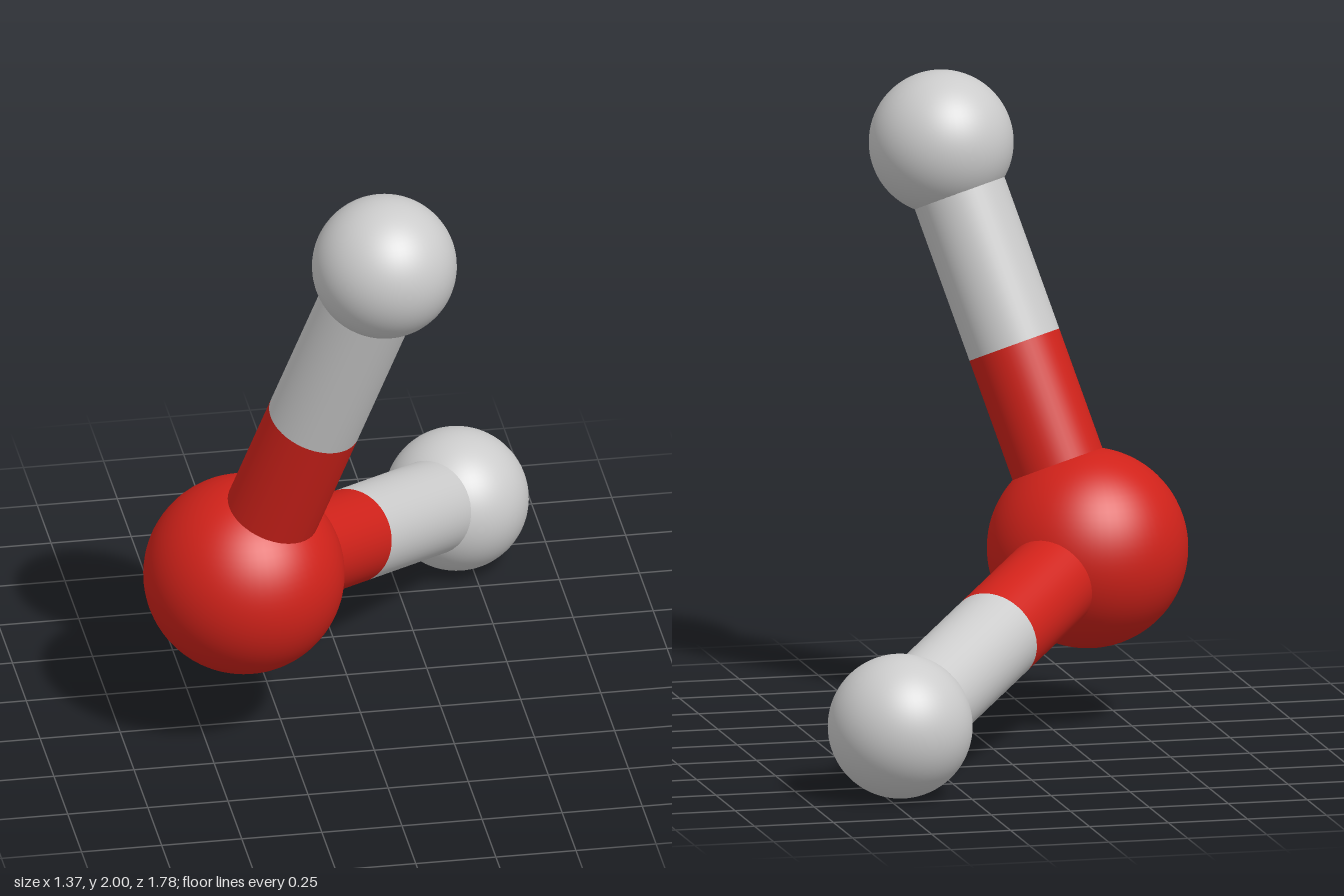
import * as THREE from 'three';

const RED = new THREE.MeshStandardMaterial({ color: 0xd0221a });
const GREY = new THREE.MeshStandardMaterial({ color: 0xcccccc });
const BOND_RADIUS = 0.147;

function atom(name, center, radius, material) {
  const mesh = new THREE.Mesh(new THREE.SphereGeometry(radius, 64, 40), material);
  mesh.name = name;
  mesh.position.copy(center);
  return mesh;
}

// Cylinder running from one point to another
function rod(name, from, to, material) {
  const dir = to.clone().sub(from);
  const mesh = new THREE.Mesh(
    new THREE.CylinderGeometry(BOND_RADIUS, BOND_RADIUS, dir.length(), 48, 1, true), material);
  mesh.name = name;
  mesh.position.copy(from).add(to).multiplyScalar(0.5);
  mesh.quaternion.setFromUnitVectors(new THREE.Vector3(0, 1, 0), dir.normalize());
  return mesh;
}

export function createModel() {
  const model = new THREE.Group();
  model.name = 'waterMolecule';

  // Large central atom
  const center = new THREE.Vector3(-0.375, 0.555, 0.315);
  model.add(atom('oxygenAtom', center, 0.31, RED));

  // Two small atoms, each on a bond coloured half and half
  const ends = {
    upper: new THREE.Vector3(0.003, 1.777, 0.665),
    lower: new THREE.Vector3(0.457, 0.225, -0.665),
  };
  for (const [name, end] of Object.entries(ends)) {
    const middle = center.clone().lerp(end, 0.5);
    const arm = new THREE.Group();
    arm.name = name + 'Arm';
    arm.add(
      rod(name + 'BondRedHalf', center, middle, RED),
      rod(name + 'BondGreyHalf', middle, end, GREY),
      atom(name + 'HydrogenAtom', end, 0.223, GREY));
    model.add(arm);
  }
  return model;
}
